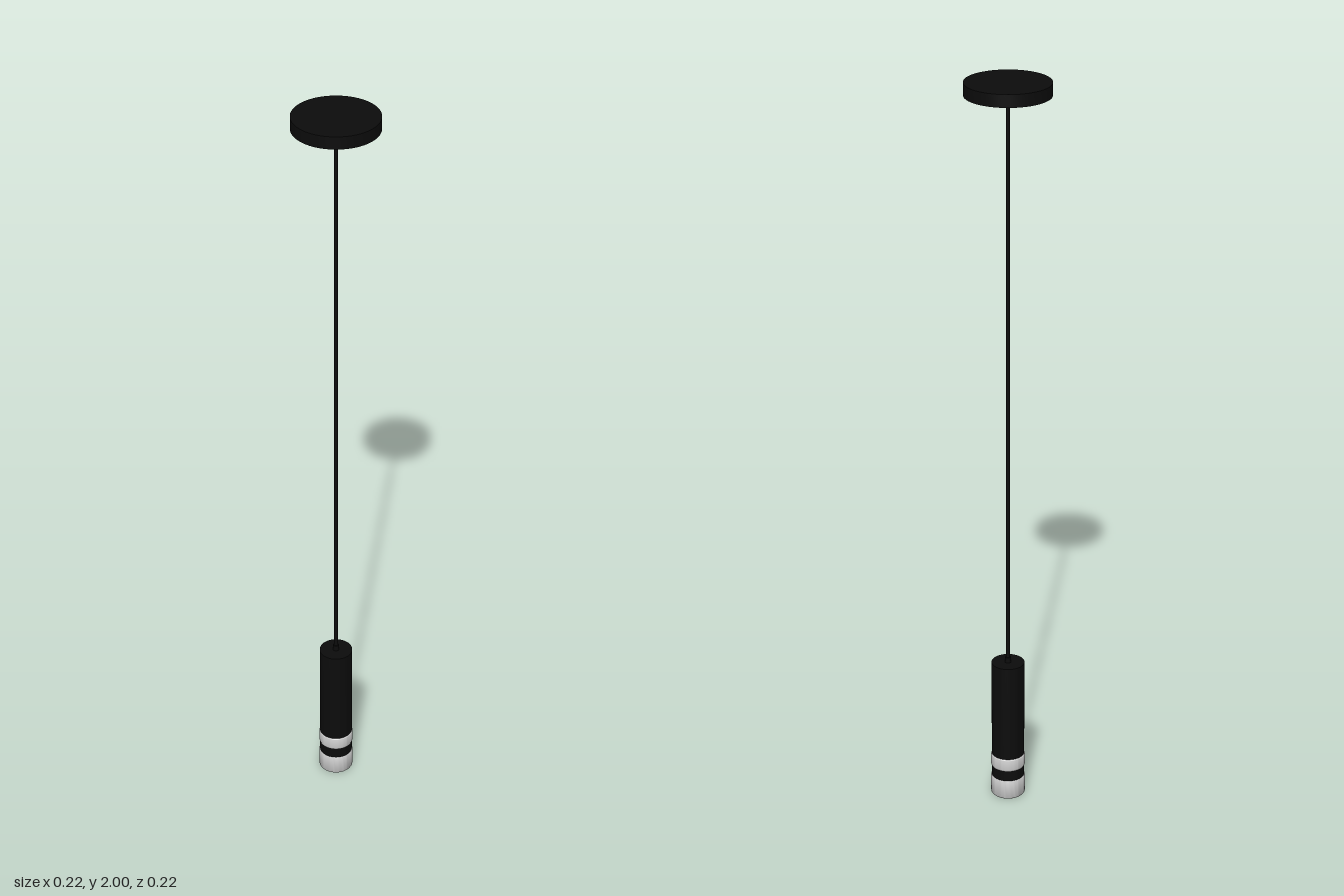
import * as THREE from 'three';
import { toCreasedNormals } from 'three/addons/utils/BufferGeometryUtils.js';

const black = new THREE.MeshStandardMaterial({ color: 0x0c0c0c });
const grey = new THREE.MeshStandardMaterial({ color: 0xcccccc });

// Closed turned part from [radius, height] points, listed bottom to top
function turned(name, points, material, segments = 64) {
  const profile = points.map(([r, y]) => new THREE.Vector2(r, y));
  const geometry = toCreasedNormals(new THREE.LatheGeometry(profile, segments), 0.6);
  const mesh = new THREE.Mesh(geometry, material);
  mesh.name = name;
  return mesh;
}

// Solid cylinder profile
const drum = (r, y0, y1) => [[0, y0], [r, y0], [r, y1], [0, y1]];

// Solid cylinder profile with rounded rims
function roundedDrum(r, y0, y1, bevel) {
  const points = [[0, y0]];
  for (const [cy, start] of [[y0 + bevel, -Math.PI / 2], [y1 - bevel, 0]]) {
    for (let i = 0; i <= 5; i++) {
      const a = start + (i / 5) * Math.PI / 2;
      points.push([r - bevel + bevel * Math.cos(a), cy + bevel * Math.sin(a)]);
    }
  }
  points.push([0, y1]);
  return points;
}

export function createModel() {
  const lamp = new THREE.Group();
  lamp.name = 'pendantLamp';

  // Ceiling mount and hanging cord
  lamp.add(
    turned('canopy', drum(0.11, 1.967, 2), black),
    turned('canopyCordGrip', drum(0.008, 1.948, 1.967), black, 24),
    turned('cord', drum(0.005, 0.4, 1.967), black, 16),
  );

  // Slim cylindrical body
  lamp.add(
    turned('bodyCordGrip', drum(0.008, 0.4, 0.416), black, 24),
    turned('body', drum(0.044, 0.123, 0.4), black),
  );

  // Diffuser split by a dark band
  lamp.add(
    turned('upperDiffuser', roundedDrum(0.046, 0.085, 0.123, 0.006), grey),
    turned('band', drum(0.044, 0.056, 0.087), black),
    turned('lowerDiffuser', roundedDrum(0.046, 0, 0.058, 0.006), grey),
  );
  return lamp;
}
